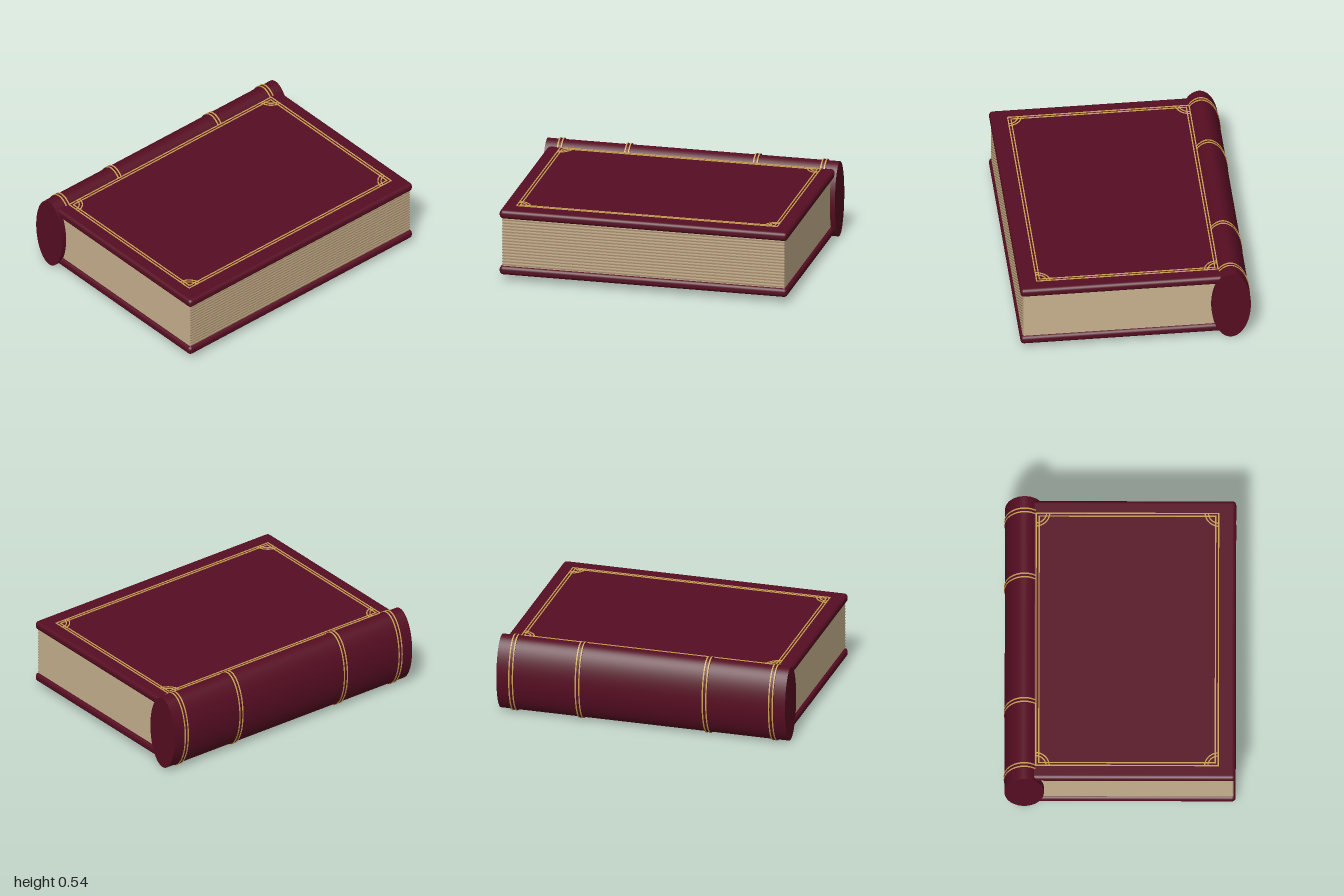
import * as THREE from 'three';
import { RoundedBoxGeometry } from 'three/addons/geometries/RoundedBoxGeometry.js';

const mat = (name, color, side = THREE.FrontSide) => {
  const m = new THREE.MeshStandardMaterial({ color, side });
  m.name = name;
  return m;
};

export function createModel() {
  const book = new THREE.Group();
  book.name = 'book';
  const leather = mat('burgundy leather', 0x560d22);
  const paper = mat('cream paper', 0xc9b28f);
  const paperEdge = mat('shaded paper edge', 0xa38c6b);
  const gold = mat('gold tooling', 0xc9a052);

  const add = (name, geometry, material, x, y, z, parent = book) => {
    const mesh = new THREE.Mesh(geometry, material);
    mesh.name = name;
    mesh.position.set(x, y, z);
    parent.add(mesh);
    return mesh;
  };

  const midY = 0.271;
  const spineX = -0.635;

  // Elliptical drum lying along z, used for the spine and its raised bands
  const drum = (name, rx, ry, length, material, z) => {
    const g = new THREE.CylinderGeometry(1, 1, length, 64);
    g.rotateX(Math.PI / 2);
    g.scale(rx, ry, 1);
    return add(name, g, material, spineX, midY, z);
  };

  // Spine with four raised bands, each edged by two gold rings
  drum('spine', 0.131, 0.261, 2, leather, 0);
  for (const z of [-0.9, -0.44, 0.44, 0.9]) {
    drum('spineBand', 0.134, 0.267, 0.036, leather, z);
    for (const s of [-1, 1]) drum('spineGoldRing', 0.136, 0.271, 0.009, gold, z + s * 0.0125);
  }

  // Covers
  for (const s of [-1, 1]) {
    add(s > 0 ? 'frontCover' : 'backCover',
      new RoundedBoxGeometry(1.4, 0.061, 1.97, 4, 0.025), leather, 0.07, midY + s * 0.1965, 0);
  }

  // Page block with thin leaf ridges along the fore edge
  add('pageBlock', new THREE.BoxGeometry(1.35, 0.335, 1.93), paper, 0.075, midY, 0);
  const leaves = 16;
  for (let i = 0; i < leaves; i++) {
    const y = midY + (i - (leaves - 1) / 2) * 0.0208;
    add('leafRidge', new THREE.BoxGeometry(0.007, 0.008, 1.932), paperEdge, 0.753, y, 0);
  }

  // Gold double border on the front cover
  const decoration = new THREE.Group();
  decoration.name = 'coverDecoration';
  book.add(decoration);
  const topY = midY + 0.227;
  const cx = 0.0475;
  const flat = (shape) => {
    const g = new THREE.ExtrudeGeometry(shape, { depth: 0.004, bevelEnabled: false, curveSegments: 16 });
    return g.rotateX(-Math.PI / 2);
  };
  const rect = (path, hx, hz) => path
    .moveTo(-hx, -hz).lineTo(hx, -hz).lineTo(hx, hz).lineTo(-hx, hz).closePath();
  for (const inset of [0, 0.02]) {
    const hx = 0.61 - inset, hz = 0.895 - inset, w = 0.008;
    const shape = new THREE.Shape();
    rect(shape, hx, hz);
    const hole = new THREE.Path();
    rect(hole, hx - w, hz - w);
    shape.holes.push(hole);
    add('goldBorder', flat(shape), gold, cx, topY, 0, decoration);
  }

  // Quarter-circle ornaments in each corner
  for (const [sx, sz, start] of [[-1, 1, 0], [1, 1, 1], [1, -1, 2], [-1, -1, 3]]) {
    const a = start * Math.PI / 2, b = a + Math.PI / 2;
    for (const r of [0.098, 0.077]) {
      const shape = new THREE.Shape();
      shape.absarc(0, 0, r, a, b, false);
      shape.absarc(0, 0, r - 0.008, b, a, true);
      shape.closePath();
      add('cornerArc', flat(shape), gold, cx + sx * 0.61, topY, sz * 0.895, decoration);
    }
  }
  return book;
}
